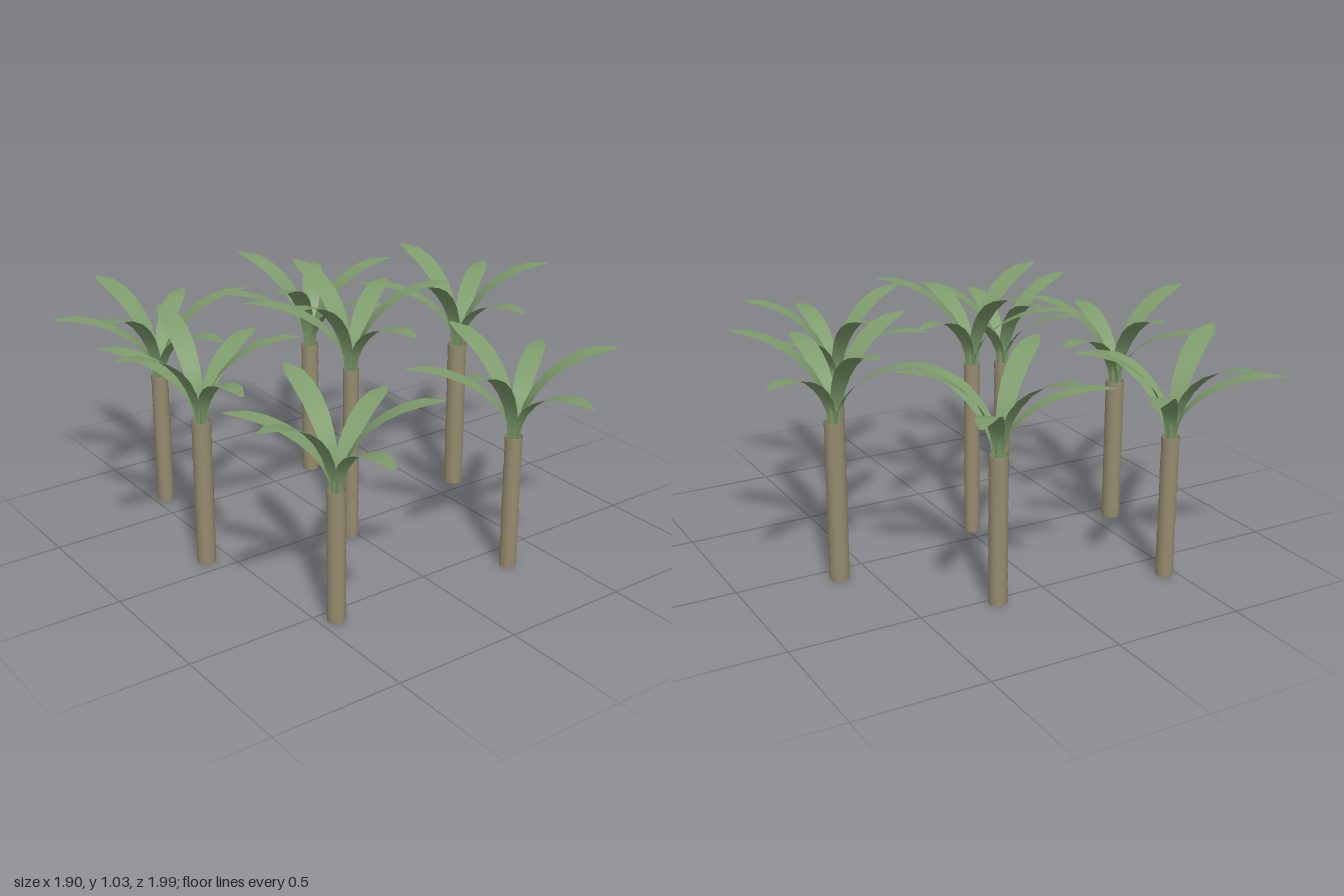
import * as THREE from 'three';

const bark = new THREE.MeshStandardMaterial({ color: 0x968b6f, side: THREE.DoubleSide });
bark.name = 'bark';
const leafGreen = new THREE.MeshStandardMaterial({ color: 0x7e9c6c, side: THREE.DoubleSide });
leafGreen.name = 'leaf green';

// Leaf widths from the base to the blunt tip
const WIDTHS = [0.04, 0.046, 0.056, 0.068, 0.078, 0.084, 0.084, 0.072, 0.015];

// Six leaves per crown: angle from +z in degrees, reach, and whether it is in the high tier
const LEAVES = [
  [0, 0.385, false], [59, 0.36, true], [124, 0.395, false],
  [180, 0.375, true], [225, 0.4, false], [290, 0.37, true],
];

// x, z, trunk height, trunk radius, crown turn in degrees
const PALMS = [
  [-0.02, 0.07, 0.70, 0.031, 0],
  [0.62, -0.07, 0.62, 0.039, 0],
  [0.32, 0.61, 0.53, 0.034, 0],
  [-0.44, 0.56, 0.51, 0.035, -7],
  [-0.59, -0.075, 0.58, 0.037, -8],
  [-0.455, -0.63, 0.55, 0.034, 11],
  [0.205, -0.53, 0.57, 0.036, 18],
];

// Thin arching blade that runs out along +z
function leafGeometry(reach, high) {
  const pos = [], idx = [];
  const start = 0.012, base = -0.01;
  const rise = (high ? 0.333 : 0.25) - base;
  const last = WIDTHS.length - 1;
  WIDTHS.forEach((w, i) => {
    const s = i / last, t = s * Math.PI / 2;
    const z = start + (reach - start) * (1 - Math.cos(t));
    const y = base + rise * Math.sin(t) - (high ? 0 : 0.014 * s ** 8);
    const half = high ? w / 2 : w * 0.46;
    pos.push(-half, y, z, half, y, z);
    if (i < last) {
      const a = i * 2;
      idx.push(a, a + 2, a + 1, a + 1, a + 2, a + 3);
    }
  });
  const g = new THREE.BufferGeometry();
  g.setAttribute('position', new THREE.Float32BufferAttribute(pos, 3));
  g.setIndex(idx);
  g.computeVertexNormals();
  return g;
}

// Open tube with slightly flared bark rings
function trunkGeometry(height, radius) {
  const rings = 9, step = height / rings, profile = [];
  for (let i = 0; i < rings; i++) {
    profile.push(new THREE.Vector2(radius * 0.94, step * i));
    profile.push(new THREE.Vector2(radius, step * (i + 0.85)));
  }
  profile.push(new THREE.Vector2(radius * 0.97, height));
  return new THREE.LatheGeometry(profile, 12);
}

export function createModel() {
  const grove = new THREE.Group();
  grove.name = 'palmGrove';
  const blades = LEAVES.map(([, reach, high]) => leafGeometry(reach, high));

  for (const [x, z, height, radius, turn] of PALMS) {
    const palm = new THREE.Group();
    palm.name = 'palm';
    palm.position.set(x, 0, z);

    const trunk = new THREE.Mesh(trunkGeometry(height, radius), bark);
    trunk.name = 'trunk';
    palm.add(trunk);

    // Crown of alternating low and high leaves
    const crown = new THREE.Group();
    crown.name = 'crown';
    crown.position.y = height;
    crown.rotation.y = THREE.MathUtils.degToRad(turn);
    LEAVES.forEach(([angle, , high], i) => {
      const leaf = new THREE.Mesh(blades[i], leafGreen);
      leaf.name = high ? 'highLeaf' : 'lowLeaf';
      leaf.rotation.y = THREE.MathUtils.degToRad(angle);
      crown.add(leaf);
    });
    palm.add(crown);
    grove.add(palm);
  }
  return grove;
}
